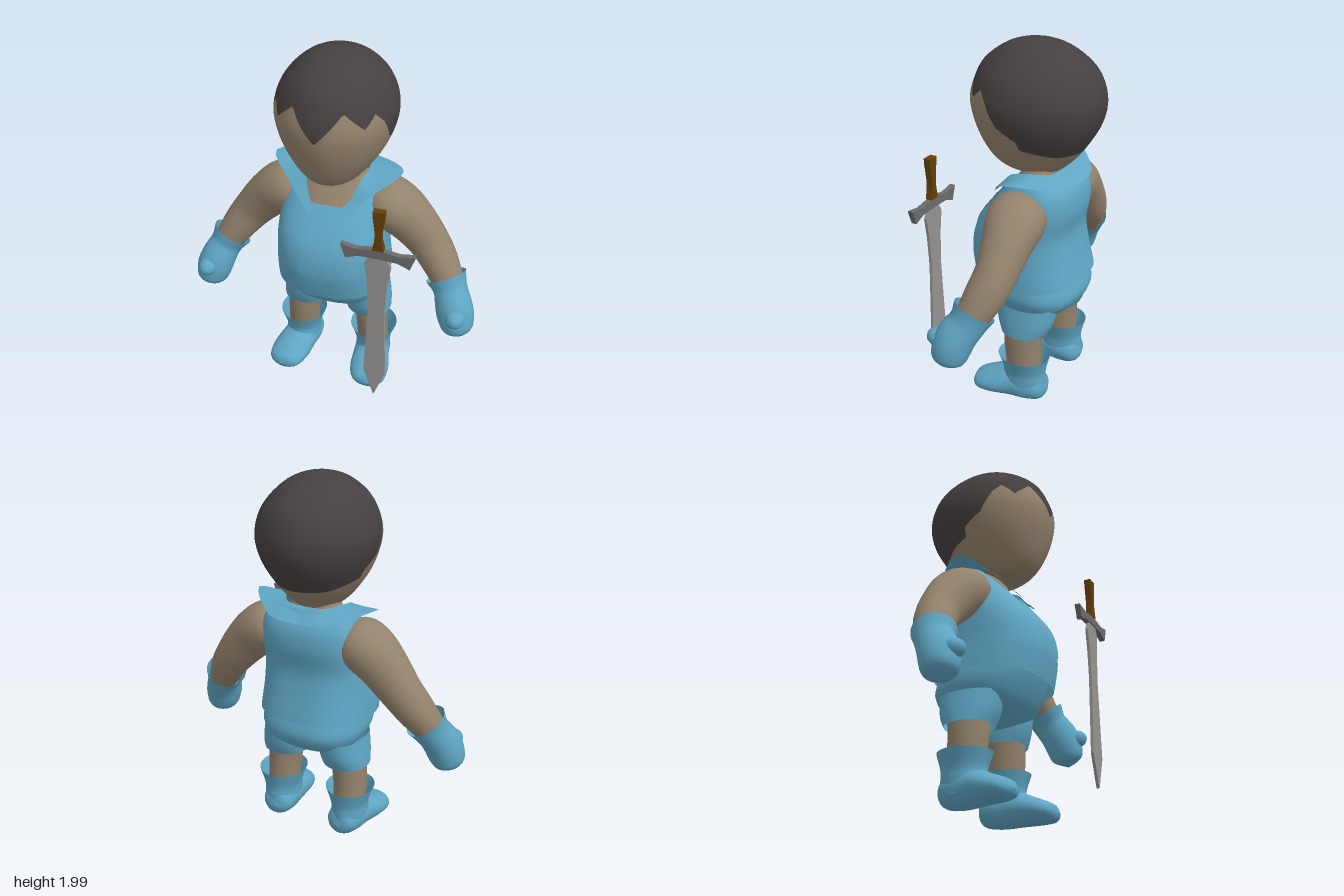
import * as THREE from 'three';

const mat = (name, color, side = THREE.FrontSide) => {
  const m = new THREE.MeshStandardMaterial({ color, side });
  m.name = name;
  return m;
};

// Smooth interpolation through rows of numbers, t in 0..1
function sample(rows, t) {
  const last = rows.length - 1;
  const f = THREE.MathUtils.clamp(t, 0, 1) * last;
  const i = Math.min(Math.floor(f), last - 1), w = f - i;
  const a = rows[Math.max(i - 1, 0)], b = rows[i], c = rows[i + 1], d = rows[Math.min(i + 2, last)];
  return b.map((p, k) => {
    const m0 = (c[k] - a[k]) / 2, m1 = (d[k] - p) / 2, e = c[k] - p;
    return p + w * (m0 + w * (3 * e - 2 * m0 - m1 + w * (m0 + m1 - 2 * e)));
  });
}

// Straight-line lookup in [key, value] pairs
function lookup(table, x) {
  let i = 0;
  while (i < table.length - 2 && x > table[i + 1][0]) i++;
  const [x0, y0] = table[i], [x1, y1] = table[i + 1];
  return y0 + (y1 - y0) * THREE.MathUtils.clamp((x - x0) / (x1 - x0), 0, 1);
}

// Grid surface from point(u, v); u wraps round when closed
function grid(nu, nv, point, closed = true) {
  const pos = [], idx = [], cols = closed ? nu : nu + 1;
  for (let j = 0; j <= nv; j++)
    for (let i = 0; i < cols; i++) pos.push(...point(i / nu, j / nv));
  for (let j = 0; j < nv; j++)
    for (let i = 0; i < nu; i++) {
      const a = j * cols + i, b = j * cols + (i + 1) % cols;
      idx.push(a, b, b + cols, a, b + cols, a + cols);
    }
  const g = new THREE.BufferGeometry();
  g.setAttribute('position', new THREE.Float32BufferAttribute(pos, 3));
  g.setIndex(idx);
  g.computeVertexNormals();
  return g;
}

// Upright body from rows [y, halfWidth, frontZ, backZ, centreX]; lo/hi trim it by angle (0 = front)
function body(rows, { n = 2, nu = 32, nv = 20, lo, hi } = {}) {
  const tOf = y => {
    let a = 0, b = 1;
    for (let k = 0; k < 24; k++) {
      const m = (a + b) / 2;
      if (sample(rows, m)[0] < y) a = m; else b = m;
    }
    return a;
  };
  const pw = v => Math.sign(v) * Math.abs(v) ** (2 / n);
  return grid(nu, nv, (u, v) => {
    const ang = u * Math.PI * 2, deg = Math.min(u, 1 - u) * 360;
    const t0 = lo ? tOf(lo(deg)) : 0, t1 = hi ? tOf(hi(deg)) : 1;
    const [y, rx, zf, zb, cx = 0] = sample(rows, t0 + (t1 - t0) * v);
    return [cx + rx * pw(Math.sin(ang)), y, (zf + zb) / 2 + (zf - zb) / 2 * pw(Math.cos(ang))];
  });
}

// Limb along rows [x, y, z, radiusA, radiusB]; radiusB lies along the ref axis
function limb(rows, ref, nu = 20, nv = 20) {
  const at = t => new THREE.Vector3(...sample(rows, t).slice(0, 3));
  return grid(nu, nv, (u, v) => {
    const [, , , ra, rb] = sample(rows, v);
    const T = at(Math.min(v + 0.01, 1)).sub(at(Math.max(v - 0.01, 0))).normalize();
    const B = ref.clone().addScaledVector(T, -ref.dot(T)).normalize();
    const A = B.clone().cross(T), g = u * Math.PI * 2;
    return at(v).addScaledVector(A, ra * Math.cos(g)).addScaledVector(B, rb * Math.sin(g)).toArray();
  });
}

const HEAD = [
  [1.305, 0, -0.03, -0.03], [1.32, 0.1, 0.11, -0.16], [1.35, 0.145, 0.18, -0.21], [1.41, 0.195, 0.23, -0.27],
  [1.5, 0.255, 0.27, -0.335], [1.6, 0.297, 0.3, -0.388], [1.7, 0.313, 0.31, -0.405], [1.8, 0.29, 0.28, -0.382],
  [1.88, 0.24, 0.235, -0.33], [1.95, 0.165, 0.145, -0.235], [1.985, 0.09, 0.06, -0.14], [2, 0, -0.04, -0.04]];
const HAIRLINE = [[0, 1.655], [26, 1.81], [45, 1.72], [57, 1.775], [66, 1.725], [78, 1.61], [96, 1.55],
  [99, 1.5], [137, 1.455], [180, 1.45]];
const TUNIC = [
  [0.67, 0.302, 0.255, -0.345], [0.76, 0.3, 0.275, -0.325], [0.87, 0.295, 0.287, -0.298], [1, 0.293, 0.257, -0.277],
  [1.13, 0.285, 0.165, -0.298], [1.24, 0.265, 0.07, -0.283], [1.33, 0.215, -0.01, -0.215]];
const NECKLINE = [[0, 1.17], [10, 1.17], [34, 1.3], [45, 1.325], [180, 1.325]];

export function createModel() {
  const model = new THREE.Group();
  const blue = mat('blueCloth', 0x5fa6c4, THREE.DoubleSide), skin = mat('skin', 0x94836d);
  const hair = mat('darkHair', 0x464040), steel = mat('bladeSteel', 0x969491);
  const iron = mat('guardIron', 0x6b6b6b), wood = mat('gripBrown', 0x633f08);
  const X = new THREE.Vector3(1, 0, 0), Y = new THREE.Vector3(0, 1, 0), Z = new THREE.Vector3(0, 0, 1);
  const add = (name, geo, m) => {
    const mesh = new THREE.Mesh(geo, m);
    mesh.name = name;
    model.add(mesh);
    return mesh;
  };

  // Head, split along the hairline
  const hairY = deg => lookup(HAIRLINE, deg);
  add('face', body(HEAD, { nu: 120, nv: 18, hi: hairY }), skin);
  add('hair', body(HEAD, { nu: 120, nv: 18, lo: hairY }), hair);

  // Chest and neck under the tunic
  add('chestAndNeck', body([[1, 0.25, 0.22, -0.25], [1.13, 0.25, 0.135, -0.27], [1.22, 0.22, 0.075, -0.25],
    [1.29, 0.16, 0.03, -0.19], [1.37, 0.11, 0.01, -0.17]], { n: 2.3 }), skin);

  // Sleeveless tunic with open neckline
  add('tunic', body(TUNIC, { n: 2.6, nu: 64, nv: 24,
    lo: d => 0.71 - 0.022 * Math.cos(d * Math.PI / 180), hi: d => lookup(NECKLINE, d) }), blue);

  // Pointed placket lying on the tunic front
  add('placket', grid(10, 16, (u, v) => {
    const x = (u - 0.5) * 0.2, low = 0.77 + Math.abs(x) * 0.8, y = low + (1.19 - low) * v;
    const [, rx, zf, zb] = sample(TUNIC, (() => {
      let t = 0;
      while (t < 1 && sample(TUNIC, t)[0] < y) t += 0.004;
      return t;
    })());
    return [x, y, (zf + zb) / 2 + (zf - zb) / 2 * (1 - Math.abs(x / rx) ** 2.6) ** (1 / 2.6) + 0.012];
  }, false), blue);

  // Wide collar: rows run from centre back to the front of the neckline
  const inner = [[0, 1.325, -0.19], [0.11, 1.33, -0.18], [0.17, 1.335, -0.08], [0.15, 1.3, 0.03],
    [0.115, 1.22, 0.1], [0.06, 1.17, 0.152]];
  const outer = [[0, 1.265, -0.29], [0.17, 1.28, -0.275], [0.35, 1.335, -0.08], [0.235, 1.26, 0.06],
    [0.16, 1.2, 0.12], [0.085, 1.15, 0.172]];
  for (const s of [1, -1])
    add(s > 0 ? 'leftCollar' : 'rightCollar', grid(20, 3, (u, v) => {
      const a = sample(inner, u), b = sample(outer, u);
      const p = a.map((k, i) => k + (b[i] - k) * v);
      return [s * p[0], p[1] + 0.008, p[2]];
    }, false), blue);

  // Seat of the shorts
  add('shorts', body([[0.48, 0, -0.08, -0.08], [0.505, 0.13, 0.04, -0.18], [0.56, 0.24, 0.14, -0.28],
    [0.64, 0.288, 0.195, -0.322], [0.73, 0.288, 0.235, -0.3]], { n: 2.5 }), blue);

  for (const s of [1, -1]) {
    const side = s > 0 ? 'left' : 'right';
    const put = rows => rows.map(([x, ...r]) => [s * x, ...r]);
    const upright = rows => rows.map(([y, rx, f, b, cx]) => [y, rx, f, b, s * cx]);

    // Arm
    add(side + 'Arm', limb(put([[0.16, 1.19, -0.08, 0.06, 0.08], [0.24, 1.165, -0.08, 0.125, 0.15],
      [0.32, 1.12, -0.085, 0.138, 0.155], [0.405, 1.045, -0.09, 0.13, 0.13], [0.5, 0.935, -0.09, 0.113, 0.11],
      [0.575, 0.835, -0.065, 0.1, 0.105], [0.65, 0.72, -0.02, 0.08, 0.085]]), Z, 24, 24), skin);

    // Mitten glove with flared cuff and thumb
    add(side + 'Glove', limb(put([[0.622, 0.768, -0.035, 0.112, 0.115], [0.655, 0.705, -0.01, 0.092, 0.1],
      [0.69, 0.63, 0.035, 0.1, 0.105], [0.712, 0.56, 0.055, 0.098, 0.1], [0.727, 0.5, 0.062, 0.075, 0.08],
      [0.735, 0.46, 0.065, 0, 0]]), Z, 20, 20), blue);
    const thumb = add(side + 'Thumb', new THREE.SphereGeometry(0.06, 14, 10), blue);
    thumb.scale.set(0.9, 0.85, 1.1);
    thumb.position.set(s * 0.715, 0.615, 0.122);

    // Shorts leg, bare leg and boot
    add(side + 'ShortsLeg', body(upright([[0.432, 0.125, 0.052, -0.205, 0.187], [0.5, 0.128, 0.08, -0.235, 0.178],
      [0.6, 0.125, 0.1, -0.25, 0.165]]), { n: 2.2, nv: 8 }), blue);
    add(side + 'Leg', body(upright([[0.18, 0.085, 0.015, -0.18, 0.212], [0.35, 0.09, 0.035, -0.18, 0.206],
      [0.5, 0.098, 0.04, -0.19, 0.195]]), { nv: 8 }), skin);
    add(side + 'BootShaft', body(upright([[0.07, 0.095, 0.05, -0.205, 0.215], [0.14, 0.097, 0.05, -0.21, 0.215],
      [0.2, 0.1, 0.035, -0.208, 0.214], [0.29, 0.131, 0.062, -0.23, 0.214]]), { nv: 12 }), blue);
    add(side + 'Foot', limb(put([[0.2, 0.09, -0.217, 0, 0], [0.202, 0.09, -0.195, 0.07, 0.065],
      [0.21, 0.1, -0.12, 0.097, 0.09], [0.222, 0.103, -0.02, 0.102, 0.093], [0.238, 0.088, 0.07, 0.11, 0.074],
      [0.252, 0.074, 0.15, 0.098, 0.055], [0.258, 0.07, 0.19, 0.065, 0.038], [0.26, 0.07, 0.208, 0, 0]]), Y, 20, 24), blue);
  }

  // Sword standing before the left side: flat outlines, mirrored about their own axis
  const sword = new THREE.Group();
  sword.name = 'sword';
  sword.position.set(0.355, 0, 0.385);
  model.add(sword);
  const plate = (name, half, depth, m) => {
    const pts = [...half, ...half.slice().reverse().map(([x, y]) => [-x, y])].map(p => new THREE.Vector2(...p));
    const g = new THREE.ExtrudeGeometry(new THREE.Shape(pts), { depth, bevelEnabled: false });
    g.translate(0, 0, -depth / 2);
    const mesh = new THREE.Mesh(g, m);
    mesh.name = name;
    sword.add(mesh);
  };
  plate('blade', [[0.002, 0.2], [0.06, 0.37], [0.052, 0.55], [0.042, 0.8], [0.052, 0.97], [0.068, 1.08],
    [0.035, 1.15]], 0.016, steel);
  plate('guard', [[0.01, 1.128], [0.1, 1.125], [0.165, 1.1], [0.192, 1.178], [0.11, 1.165], [0.01, 1.18]], 0.03, iron);
  plate('grip', [[0.03, 1.178], [0.018, 1.23], [0.016, 1.28], [0.028, 1.37], [0.03, 1.405]], 0.036, wood);

  return model;
}
